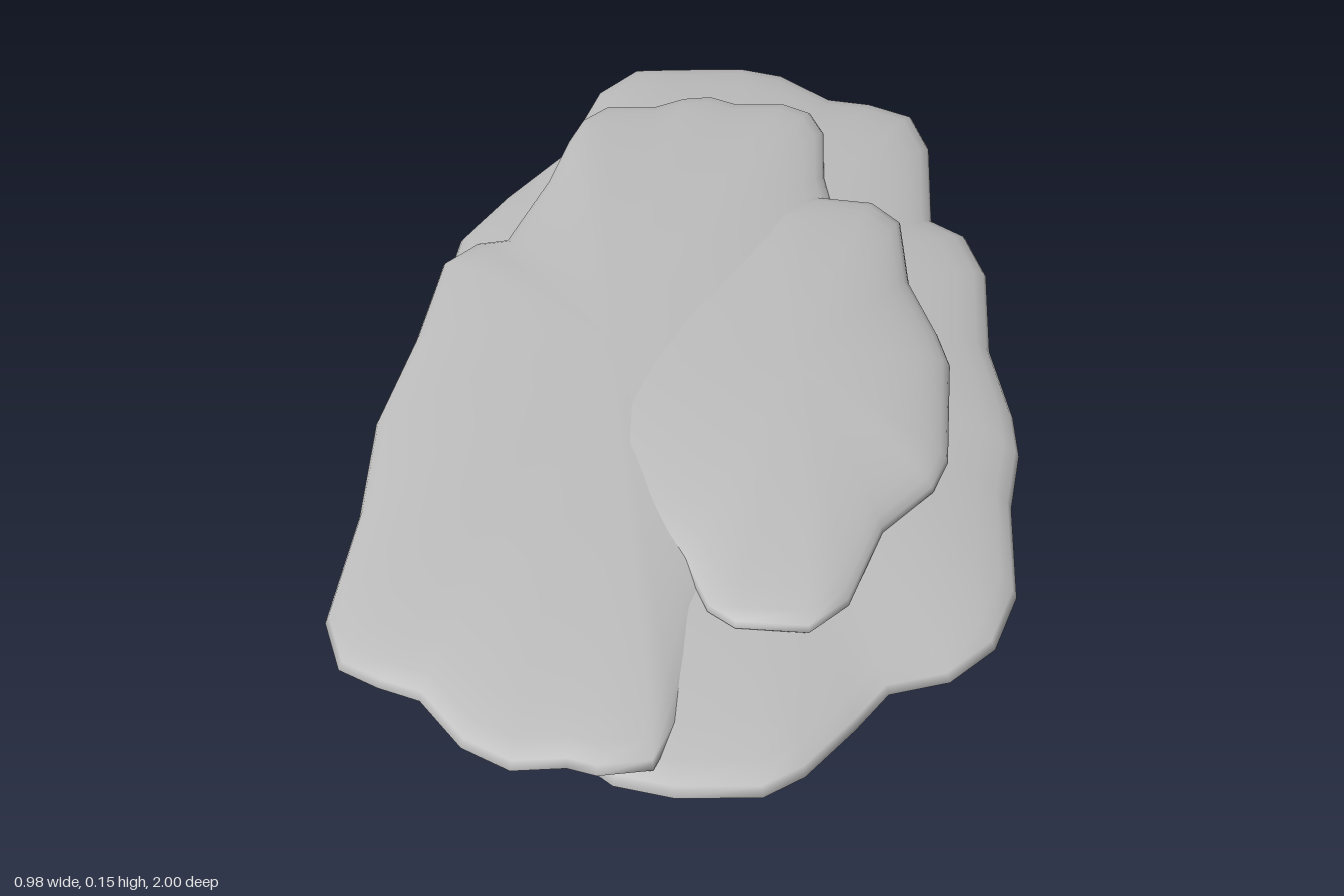
import * as THREE from 'three';
import { mergeVertices } from 'three/addons/utils/BufferGeometryUtils.js';

const RINGS = 20;

// Lens-shaped slab: an irregular outline [x, z] swept from top pole to bottom pole,
// with its rim lying on a slightly tilted plane.
function slab(name, material, { outline, centre: [cx, cz], rim, tiltX, tiltZ, half }) {
  const n = outline.length, pos = [], index = [];
  for (let i = 0; i <= RINGS; i++) {
    const t = Math.PI * i / RINGS, s = Math.sin(t), c = Math.cos(t);
    for (const [px, pz] of outline) {
      const x = cx + (px - cx) * s, z = cz + (pz - cz) * s;
      // faint worn undulation, fading out at the rim
      const wave = 0.002 * c * s * Math.sin(9 * x + 2) * Math.cos(6 * z + 1);
      pos.push(x, rim + tiltX * x + tiltZ * z + half * c + wave, z);
    }
  }
  for (let i = 0; i < RINGS; i++) for (let j = 0; j < n; j++) {
    const k = (j + 1) % n;
    const a = i * n + j, b = a + n, d = i * n + k, c = d + n;
    if (i < RINGS - 1) index.push(a, c, b);
    if (i > 0) index.push(a, d, c);
  }
  let geo = new THREE.BufferGeometry();
  geo.setAttribute('position', new THREE.Float32BufferAttribute(pos, 3));
  geo.setIndex(index);
  geo = mergeVertices(geo, 1e-5);
  geo.computeVertexNormals();
  const mesh = new THREE.Mesh(geo, material);
  mesh.name = name;
  return mesh;
}

// Outlines run clockwise seen from above, starting at the back
const lower = {
  centre: [0, 0], rim: 0.055, tiltX: 0.018, tiltZ: 0.007, half: 0.055,
  outline: [
    [-0.04, -1], [0.04, -0.975], [0.14, -0.88], [0.22, -0.865], [0.3, -0.82], [0.335, -0.7],
    [0.345, -0.43], [0.405, -0.38], [0.44, -0.26], [0.445, -0.03], [0.48, 0.15], [0.488, 0.25],
    [0.475, 0.38], [0.48, 0.58], [0.45, 0.69], [0.39, 0.76], [0.31, 0.79], [0.27, 0.86],
    [0.21, 0.95], [0.16, 0.99], [0.05, 1], [-0.03, 0.985], [-0.1, 0.93], [-0.22, 0.84],
    [-0.36, 0.7], [-0.43, 0.45], [-0.465, 0.1], [-0.475, -0.15], [-0.475, -0.31],
    [-0.42, -0.46], [-0.345, -0.62], [-0.31, -0.88], [-0.25, -0.98], [-0.17, -0.99],
  ],
};
const middle = {
  centre: [-0.15, 0.1], rim: 0.09, tiltX: 0.02, tiltZ: -0.012, half: 0.047,
  outline: [
    [-0.08, -0.785], [-0.03, -0.76], [0.06, -0.765], [0.11, -0.735], [0.14, -0.66],
    [0.15, -0.5], [0.17, -0.41], [0.19, -0.2], [0.18, 0.05], [0.16, 0.3], [0.11, 0.52],
    [0.05, 0.73], [0.04, 0.9], [0.02, 0.97], [-0.05, 0.985], [-0.09, 0.975], [-0.16, 0.985],
    [-0.23, 0.95], [-0.3, 0.87], [-0.36, 0.85], [-0.42, 0.82], [-0.46, 0.73], [-0.465, 0.5],
    [-0.49, 0.28], [-0.475, 0.05], [-0.475, -0.17], [-0.43, -0.235], [-0.38, -0.25],
    [-0.34, -0.45], [-0.325, -0.6], [-0.31, -0.68], [-0.27, -0.735], [-0.18, -0.74],
    [-0.13, -0.775],
  ],
};
const upper = {
  centre: [0.14, 0.15], rim: 0.106, tiltX: 0.003, tiltZ: -0.005, half: 0.043,
  outline: [
    [0.14, -0.41], [0.24, -0.4], [0.29, -0.34], [0.31, -0.15], [0.36, 0], [0.38, 0.08],
    [0.38, 0.33], [0.36, 0.4], [0.29, 0.5], [0.25, 0.66], [0.2, 0.72], [0.1, 0.72],
    [0.06, 0.69], [0.02, 0.6], [-0.05, 0.53], [-0.14, 0.4], [-0.16, 0.28], [-0.14, 0.15],
    [-0.08, -0.04], [-0.02, -0.15], [0.04, -0.27], [0.09, -0.37],
  ],
};

export function createModel() {
  const stone = new THREE.MeshStandardMaterial({ color: 0xbebebe });
  stone.name = 'light grey stone';
  const group = new THREE.Group();
  group.name = 'layeredRock';
  group.add(
    slab('lowerSlab', stone, lower),
    slab('middleSlab', stone, middle),
    slab('upperSlab', stone, upper));
  return group;
}
